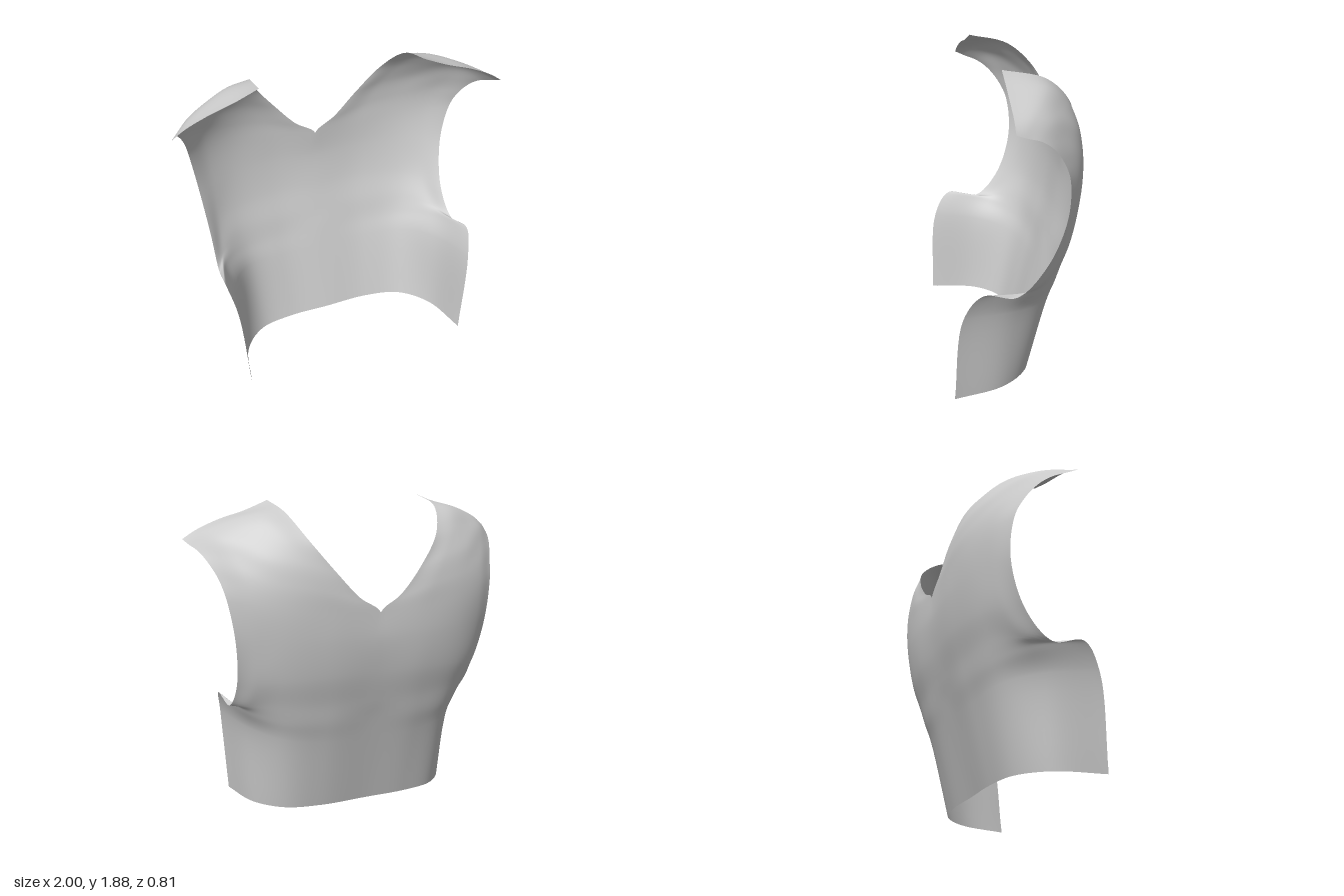
import * as THREE from 'three';
import { mergeVertices } from 'three/addons/utils/BufferGeometryUtils.js';

// Half cross-sections, each running from the spine (or neckline) to the outer edge.
const torsoRows = [
  [[0, 0, -.13], [.28, 0, -.13], [.5, 0, -.08], [.65, 0, .08], [.72, 0, .37]],             // hem
  [[0, .45, -.25], [.3, .45, -.245], [.54, .48, -.18], [.69, .52, .02], [.765, .55, .325]],
  [[0, .58, -.285], [.3, .58, -.285], [.55, .6, -.225], [.715, .64, -.06], [.8, .7, .22]], // underarm
  [[0, .7, -.32], [.3, .7, -.315], [.56, .71, -.26], [.71, .69, -.13], [.79, .665, .03]],
  [[0, .88, -.365], [.3, .88, -.365], [.56, .87, -.315], [.7, .85, -.235], [.785, .82, -.125]],
  [[0, 1.08, -.395], [.32, 1.09, -.395], [.55, 1.1, -.36], [.7, 1.1, -.3], [.81, 1.1, -.225]],
];
const shoulderRows = [
  [[0, 1.24, -.395], [.3, 1.26, -.403], [.54, 1.29, -.375], [.72, 1.32, -.31], [.85, 1.35, -.22]], // neck point
  [[.13, 1.335, -.395], [.36, 1.39, -.397], [.56, 1.43, -.36], [.74, 1.46, -.28], [.88, 1.47, -.17]],
  [[.27, 1.49, -.38], [.45, 1.54, -.36], [.63, 1.57, -.3], [.79, 1.58, -.2], [.92, 1.56, -.1]],
  [[.4, 1.66, -.32], [.55, 1.69, -.265], [.7, 1.69, -.19], [.84, 1.67, -.11], [.95, 1.61, -.03]],
  [[.48, 1.81, -.16], [.61, 1.8, -.13], [.74, 1.765, -.08], [.88, 1.71, -.01], [.98, 1.64, .05]],
  [[.5, 1.87, .085], [.64, 1.815, .09], [.79, 1.77, .1], [.92, 1.715, .105], [1, 1.665, .11]],     // shoulder seam
];

const curve = (pts) => new THREE.CatmullRomCurve3(pts);

// The cloth hangs slightly unevenly: side is +1 or -1.
function drape(p, side) {
  const x = Math.max(0, p.x);
  const low = Math.max(0, 1 - p.y / 1.5);
  return [
    side * x - .02 * low,
    p.y - side * .012 * x * p.y / 1.8,
    p.z + side * .06 * x * x * (1 - p.y / 2),
  ];
}

function backPanelGeometry() {
  const across = 32, along = 88;
  const rows = [...torsoRows, ...shoulderRows].map((r) =>
    curve(r.map((p) => new THREE.Vector3(...p))).getPoints(across));
  const columns = [];
  for (let i = 0; i <= across; i++) columns.push(curve(rows.map((r) => r[i])).getPoints(along));

  const positions = [], indices = [];
  for (const side of [1, -1]) {
    const base = positions.length / 3;
    for (const column of columns) for (const p of column) positions.push(...drape(p, side));
    for (let i = 0; i < across; i++) {
      for (let j = 0; j < along; j++) {
        const a = base + i * (along + 1) + j, b = a + along + 1;
        if (side > 0) indices.push(a, a + 1, b, b, a + 1, b + 1);
        else indices.push(a, b, a + 1, b, b + 1, a + 1);
      }
    }
  }
  let geometry = new THREE.BufferGeometry();
  geometry.setAttribute('position', new THREE.Float32BufferAttribute(positions, 3));
  geometry.setIndex(indices);
  geometry = mergeVertices(geometry, 1e-4); // weld the halves along the spine
  geometry.computeVertexNormals();
  return geometry;
}

export function createModel() {
  const group = new THREE.Group();
  group.name = 'garmentBack';
  const panel = new THREE.Mesh(
    backPanelGeometry(),
    new THREE.MeshStandardMaterial({ color: 0xcccccc, side: THREE.DoubleSide }),
  );
  panel.name = 'backPanel';
  group.add(panel);
  return group;
}
